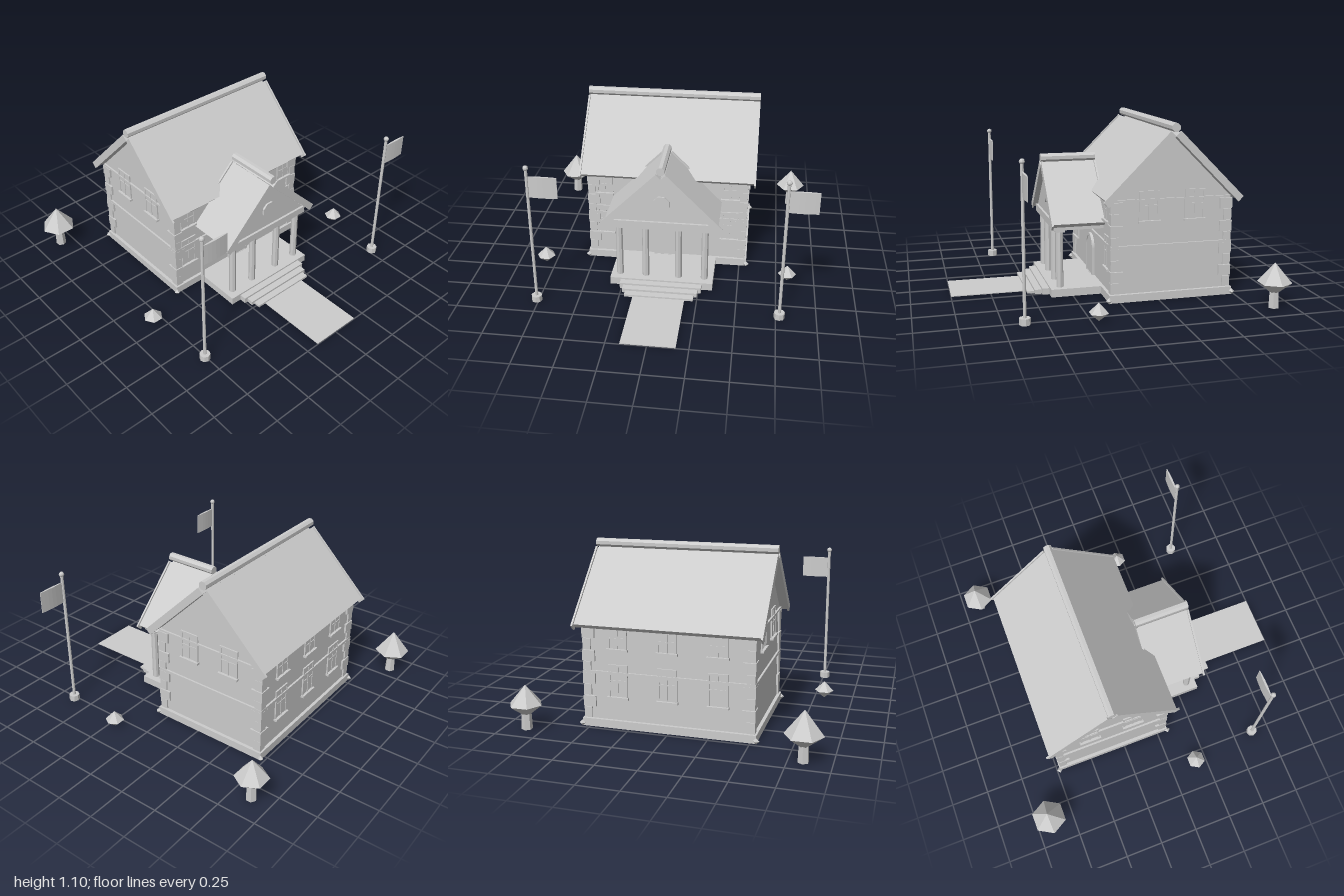
import * as THREE from 'three';

const stone = new THREE.MeshStandardMaterial({ color: 0xcccccc });
stone.name = 'pale grey stone';
stone.flatShading = true;

function add(parent, name, geometry, x = 0, y = 0, z = 0) {
  const mesh = new THREE.Mesh(geometry, stone);
  mesh.name = name;
  mesh.position.set(x, y, z);
  parent.add(mesh);
  return mesh;
}

// Box given by its lower and upper limits
function block(parent, name, x0, x1, y0, y1, z0, z1) {
  return add(parent, name, new THREE.BoxGeometry(x1 - x0, y1 - y0, z1 - z0),
    (x0 + x1) / 2, (y0 + y1) / 2, (z0 + z1) / 2);
}

// Low slab that is hollow underneath: a top with a skirt on four sides
function tray(parent, name, w, h, z0, z1) {
  const g = new THREE.Group();
  g.name = name;
  parent.add(g);
  const t = 0.006;
  block(g, 'top', -w, w, h - t, h, z0, z1);
  for (const s of [-1, 1])
    block(g, 'sideSkirt', s * (w - t / 2) - t / 2, s * (w - t / 2) + t / 2, 0, h - t, z0, z1);
  block(g, 'backSkirt', t - w, w - t, 0, h - t, z0, z0 + t);
  block(g, 'frontSkirt', t - w, w - t, 0, h - t, z1 - t, z1);
}

function prism(parent, name, points, z0, z1) {
  const shape = new THREE.Shape(points.map(p => new THREE.Vector2(...p)));
  const geo = new THREE.ExtrudeGeometry(shape, { depth: z1 - z0, bevelEnabled: false });
  return add(parent, name, geo, 0, 0, z0);
}

// 45 degree gable roof running along z: panels, end boards and eight-sided ridge
function gableRoof(parent, apex, eave, z0, z1) {
  const slab = (name, s, a, b, e, za, zb) => prism(parent, name, [
    [s * a, apex + a], [s * (e + a), apex - e + a],
    [s * (e + b), apex - e + b], [s * b, apex + b]], za, zb);
  for (const s of [-1, 1]) {
    slab('roofPanel', s, 0.002, 0.025, eave - 0.012, z0 + 0.006, z1 - 0.006);
    slab('bargeboard', s, 0, 0.032, eave, z0, z0 + 0.012);
    slab('bargeboard', s, 0, 0.032, eave, z1 - 0.012, z1);
  }
  const ridge = new THREE.CylinderGeometry(0.028, 0.028, z1 - z0, 8);
  ridge.rotateY(Math.PI / 8).rotateX(Math.PI / 2);
  add(parent, 'ridge', ridge, 0, apex + 0.053, (z0 + z1) / 2);
}

// Window on a wall facing +z of its group
function windowUnit(parent, x, y0, y1, w) {
  const g = new THREE.Group();
  g.name = 'window';
  g.position.x = x;
  parent.add(g);
  const h = w / 2;
  block(g, 'pane', -h, h, y0, y1, 0, 0.005);
  for (const s of [-1, 1]) block(g, 'jamb', s * h - 0.006, s * h + 0.006, y0, y1, 0, 0.009);
  block(g, 'mullion', -0.004, 0.004, y0, y1, 0, 0.009);
  block(g, 'transom', -h, h, (y0 + y1) / 2 - 0.004, (y0 + y1) / 2 + 0.004, 0, 0.009);
  block(g, 'lintel', -h - 0.006, h + 0.006, y1 - 0.012, y1, 0, 0.009);
  block(g, 'sill', -h - 0.012, h + 0.012, y0 - 0.014, y0, 0, 0.022);
}

function wallGroup(parent, name, x, z, turn) {
  const g = new THREE.Group();
  g.name = name;
  g.position.set(x, 0, z);
  g.rotation.y = turn;
  parent.add(g);
  return g;
}

function bicone(parent, name, x, z, r, low, mid, top) {
  const geo = new THREE.LatheGeometry([[0, low], [r, mid], [0, top]]
    .map(p => new THREE.Vector2(...p)), 6, Math.PI / 6);
  add(parent, name, geo, x, 0, z);
}

function buildHouse(root) {
  const W = 0.522, D = 0.38, CZ = -0.33;
  // Walls with gables, and the roof, with their section turned across x
  const main = wallGroup(root, 'mainHouse', 0, CZ, Math.PI / 2);
  prism(main, 'walls', [[-D, 0.046], [D, 0.046], [D, 0.64], [0, 1.021], [-D, 0.64]], -W, W);
  gableRoof(main, 1.022, 0.415, -0.58, 0.58);
  tray(root, 'plinth', 0.543, 0.05, CZ - 0.4, CZ + 0.4);
  // String courses
  const p = 0.012;
  block(root, 'stringCourse', -W - p, W + p, 0.336, 0.355, CZ - D - p, CZ + D + p);
  block(root, 'cornice', -W - p, W + p, 0.629, 0.641, CZ - D, CZ + D);
  // Alternating large and small corner stones, and small corner feet
  for (const sx of [-1, 1]) for (const sz of [-1, 1]) {
    for (let i = 0; i < 8; i++) {
      const l = i % 2 ? 0.08 : 0.05, out = i % 2 ? 0.013 : 0.01;
      add(root, 'cornerStone', new THREE.BoxGeometry(l, 0.068, l),
        sx * (W + out - l / 2), 0.087 + i * 0.072, CZ + sz * (D + out - l / 2));
    }
    add(root, 'cornerFoot', new THREE.OctahedronGeometry(0.02), sx * 0.543, 0.018, CZ + sz * 0.402);
  }
  // Windows
  const front = wallGroup(root, 'frontWindows', 0, CZ + D, 0);
  const back = wallGroup(root, 'backWindows', 0, CZ - D, Math.PI);
  for (const x of [-0.42, 0.42]) {
    windowUnit(front, x, 0.2, 0.4, 0.1);
    windowUnit(front, x, 0.5, 0.625, 0.1);
  }
  for (const x of [-0.31, 0, 0.31]) {
    windowUnit(back, x, 0.2, 0.4, 0.11);
    windowUnit(back, x, 0.5, 0.625, 0.11);
  }
  for (const s of [-1, 1]) {
    const side = wallGroup(root, 'sideWindows', s * W, CZ, s * Math.PI / 2);
    for (const x of [-0.147, 0.147]) windowUnit(side, x, 0.507, 0.69, 0.118);
  }
}

function arch(r, spring, base) {
  const s = new THREE.Shape();
  s.moveTo(-r, base);
  s.lineTo(r, base);
  s.lineTo(r, spring);
  s.absarc(0, spring, r, 0, Math.PI, false);
  s.closePath();
  return s;
}

function buildPortico(root) {
  const g = new THREE.Group();
  g.name = 'portico';
  root.add(g);
  tray(g, 'platform', 0.335, 0.05, 0.07, 0.39);
  // Steps narrowing toward the path
  [[0.265, 0.04], [0.243, 0.028], [0.222, 0.015]].forEach(([w, h], i) =>
    tray(g, 'step', w, h, 0.39 + i * 0.045, 0.435 + i * 0.045));
  block(g, 'path', -0.167, 0.167, 0, 0.005, 0.52, 1);
  // Columns
  for (const x of [-0.278, -0.107, 0.107, 0.278]) {
    const shaft = new THREE.CylinderGeometry(0.022, 0.023, 0.37, 8);
    add(g, 'column', shaft, x, 0.235, 0.325);
    block(g, 'capital', x - 0.031, x + 0.031, 0.409, 0.424, 0.294, 0.356);
  }
  // Entablature, pediment and roof
  block(g, 'entablature', -0.318, 0.318, 0.424, 0.472, 0.05, 0.37);
  prism(g, 'pediment', [[-0.315, 0.468], [0.315, 0.468], [0, 0.783]], 0.04, 0.355);
  gableRoof(g, 0.785, 0.35, 0.03, 0.39);
  const disc = new THREE.CylinderGeometry(0.055, 0.055, 0.012, 8);
  disc.rotateY(Math.PI / 8).rotateX(Math.PI / 2);
  add(g, 'roundWindow', disc, 0, 0.6, 0.361);
  // Arched door with surround
  const surround = arch(0.085, 0.235, 0.05);
  surround.holes.push(arch(0.066, 0.235, 0.052));
  add(g, 'doorSurround', new THREE.ExtrudeGeometry(surround,
    { depth: 0.018, bevelEnabled: false }), 0, 0, 0.05);
  add(g, 'door', new THREE.ExtrudeGeometry(arch(0.067, 0.235, 0.05),
    { depth: 0.014, bevelEnabled: false }), 0, 0, 0.05);
}

function buildFlagpole(root, x) {
  const g = wallGroup(root, 'flagpole', x, 0.628, 0);
  add(g, 'poleBase', new THREE.CylinderGeometry(0.034, 0.034, 0.04, 8), 0, 0.02, 0);
  add(g, 'pole', new THREE.CylinderGeometry(0.01, 0.01, 0.93, 8), 0, 0.465, 0);
  add(g, 'finial', new THREE.SphereGeometry(0.017, 8, 6), 0, 0.935, 0);
  // Flag slightly thicker in the middle
  const flag = new THREE.BoxGeometry(0.174, 0.138, 0.014, 6, 1, 1);
  const p = flag.attributes.position;
  for (let i = 0; i < p.count; i++)
    p.setZ(i, p.getZ(i) * (0.3 + 0.7 * Math.cos(p.getX(i) * Math.PI / 0.174)));
  flag.computeVertexNormals();
  add(g, 'flag', flag, 0.095, 0.812, 0);
}

export function createModel() {
  const root = new THREE.Group();
  root.name = 'townHall';
  // Buildings and flagpoles stand a little off the centre line of the grounds
  const site = wallGroup(root, 'buildings', 0.005, 0, 0);
  buildHouse(site);
  buildPortico(site);
  for (const x of [-0.765, 0.767]) buildFlagpole(site, x);
  // Trees and bushes
  for (const [x, z, r, top] of [[-0.838, -0.9, 0.114, 0.305], [0.85, -0.875, 0.104, 0.28]]) {
    bicone(root, 'treeCrown', x, z, r, 0.075, 0.158, top);
    add(root, 'treeTrunk', new THREE.CylinderGeometry(0.03, 0.034, 0.11, 6), x, 0.055, z);
  }
  bicone(root, 'bush', -0.813, 0.178, 0.062, 0, 0.052, 0.115);
  bicone(root, 'bush', 0.822, 0.207, 0.06, 0, 0.05, 0.112);
  return root;
}
